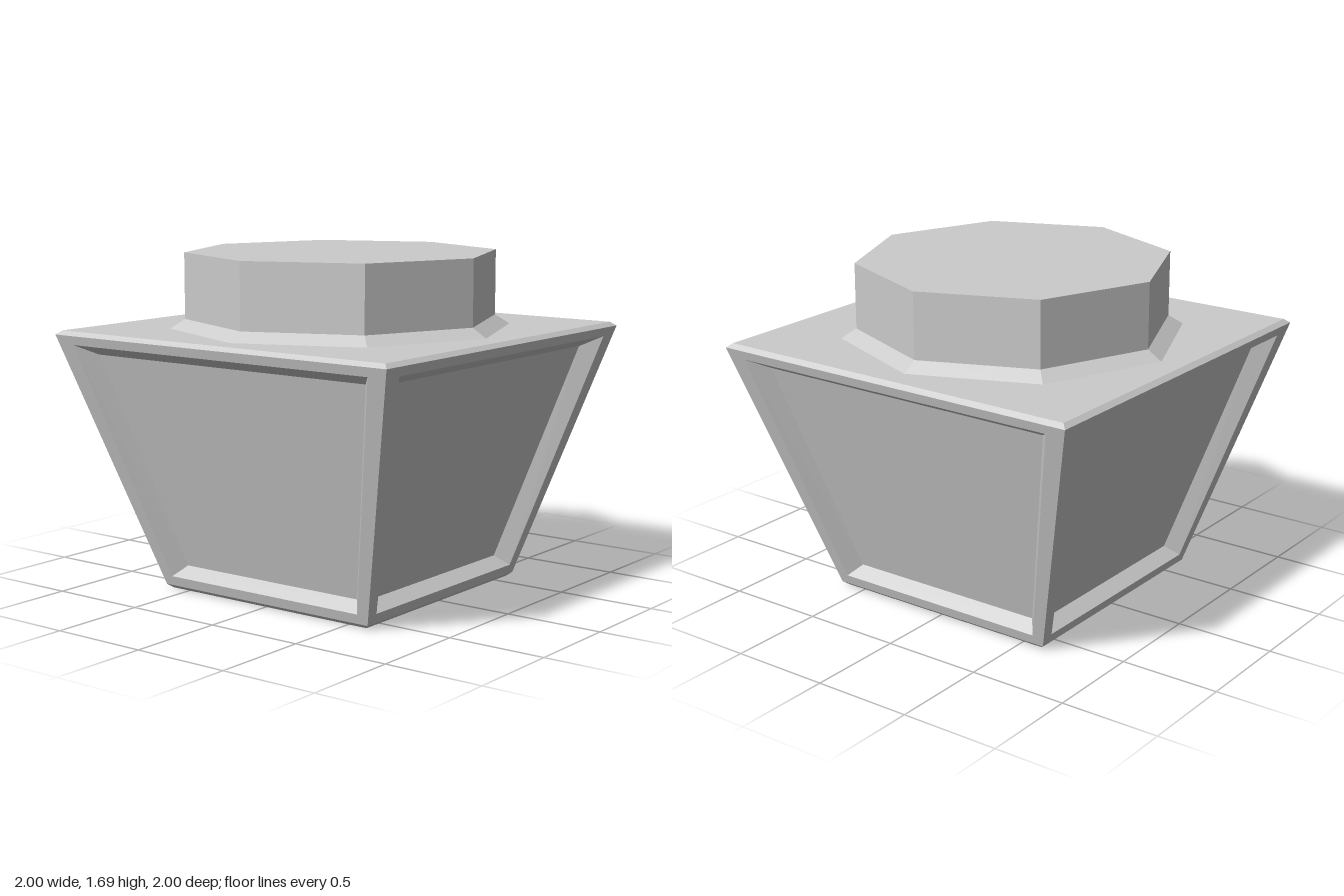
import * as THREE from 'three';

const material = new THREE.MeshStandardMaterial({ color: 0xcccccc, flatShading: true });

// Faceted solid turned from a profile of [radius, y] points
function turned(name, sides, phase, profile) {
  const points = profile.map(([r, y]) => new THREE.Vector2(r, y));
  const mesh = new THREE.Mesh(new THREE.LatheGeometry(points, sides, phase), material);
  mesh.name = name;
  return mesh;
}

// Square part: profile gives half-widths instead of radii
const square = (name, profile) =>
  turned(name, 4, Math.PI / 4, profile.map(([h, y]) => [h * Math.SQRT2, y]));

// Trapezoid loop, counter-clockwise seen from the front
const trapezoid = (bottom, y0, z0, top, y1, z1) => [
  [-bottom, y0, z0], [bottom, y0, z0], [top, y1, z1], [-top, y1, z1],
];

// Sloping wall: outer frame, bevel into the recess, sunken panel
function wallGeometry() {
  const slope = (y) => 0.63 + (0.37 * (y - 0.02)) / 1.275;
  const depth = 0.08;
  const loops = [
    trapezoid(0.63, 0.02, 0.63, 1, 1.295, 1),
    trapezoid(0.58, 0.07, slope(0.07), 0.89, 1.25, slope(1.25)),
    trapezoid(0.53, 0.12, slope(0.12) - depth, 0.81, 1.2, slope(1.2) - depth),
  ];
  const index = [];
  const quad = (a, b, c, d) => index.push(a, b, c, a, c, d);
  for (let ring = 0; ring < 2; ring++) {
    for (let i = 0; i < 4; i++) {
      const j = (i + 1) % 4;
      const o = ring * 4;
      quad(o + i, o + j, o + 4 + j, o + 4 + i);
    }
  }
  quad(8, 9, 10, 11);
  const geometry = new THREE.BufferGeometry();
  geometry.setAttribute('position', new THREE.Float32BufferAttribute(loops.flat(2), 3));
  geometry.setIndex(index);
  const faceted = geometry.toNonIndexed();
  faceted.computeVertexNormals();
  return faceted;
}

export function createModel() {
  const model = new THREE.Group();
  model.name = 'taperedContainer';

  // Bevelled base and top plate
  model.add(square('base', [[0, 0], [0.605, 0], [0.63, 0.02]]));
  model.add(square('topPlate', [[1, 1.295], [0.975, 1.315], [0, 1.315]]));

  // Four identical recessed walls
  const wall = wallGeometry();
  ['front', 'left', 'back', 'right'].forEach((side, i) => {
    const mesh = new THREE.Mesh(wall, material);
    mesh.name = `${side}Wall`;
    mesh.rotation.y = (i * Math.PI) / 2;
    model.add(mesh);
  });

  // Octagonal cap with a flared collar
  model.add(turned('collar', 8, 0, [[0.855, 1.315], [0.78, 1.362]]));
  model.add(turned('cap', 8, 0, [[0.78, 1.362], [0.78, 1.69], [0, 1.69]]));

  return model;
}
